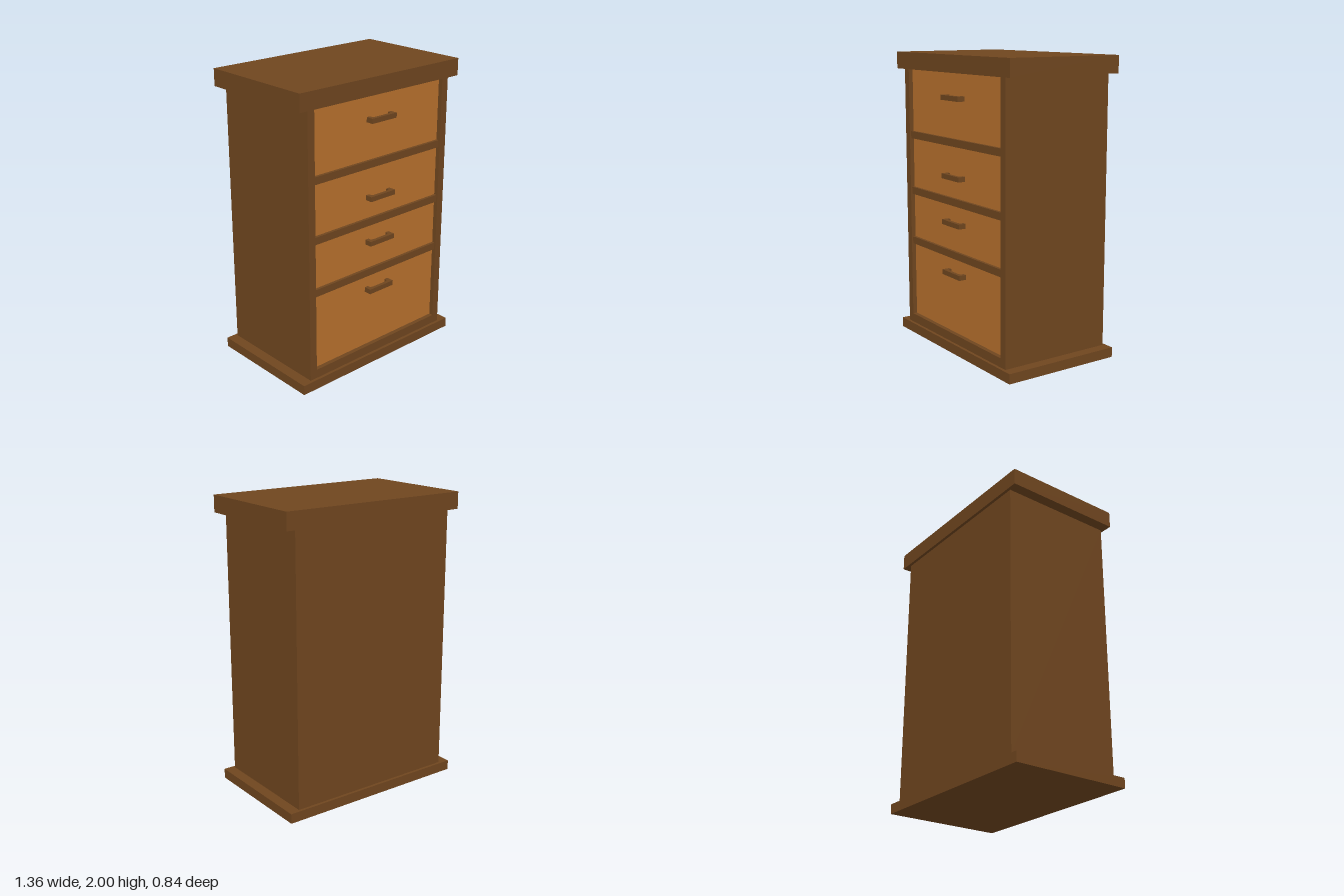
import * as THREE from 'three';

const dark = new THREE.MeshStandardMaterial({ color: 0x70461f });
const light = new THREE.MeshStandardMaterial({ color: 0xb8712d });

// Box given by its lower and upper corners
function box(name, [x0, y0, z0], [x1, y1, z1], material = dark) {
  const mesh = new THREE.Mesh(new THREE.BoxGeometry(x1 - x0, y1 - y0, z1 - z0), material);
  mesh.name = name;
  mesh.position.set((x0 + x1) / 2, (y0 + y1) / 2, (z0 + z1) / 2);
  return mesh;
}

// Bracket-shaped pull: a bar with two legs and chamfered inner corners
function handle(y, back, front) {
  const w = 0.106, h = 0.033, d = front - back;
  const shape = new THREE.Shape([
    [-w, 0], [-w + 0.028, 0], [-w + 0.028, -d * 0.4], [-w + 0.045, -d * 0.55],
    [w - 0.045, -d * 0.55], [w - 0.028, -d * 0.4], [w - 0.028, 0], [w, 0], [w, -d], [-w, -d],
  ].map(([x, z]) => new THREE.Vector2(x, z)));
  const geometry = new THREE.ExtrudeGeometry(shape, { depth: h, bevelEnabled: false });
  geometry.rotateX(-Math.PI / 2);
  const mesh = new THREE.Mesh(geometry, dark);
  mesh.name = 'handle';
  mesh.position.set(0.005, y - h / 2, back);
  return mesh;
}

export function createModel() {
  const group = new THREE.Group();
  group.name = 'chestOfDrawers';

  const bottom = 0.067, top = 1.885, outer = 0.607, inner = 0.554;
  const front = 0.4, railFront = 0.39, drawerFront = 0.37;

  // Overhanging slabs
  group.add(box('topSlab', [-0.68, top, -0.42], [0.68, 2, 0.42]));
  group.add(box('baseSlab', [-0.68, 0, -0.42], [0.68, bottom, 0.42]));

  // Carcass
  group.add(box('rightSide', [-outer, bottom, -front], [-inner, top, front]));
  group.add(box('leftSide', [inner, bottom, -front], [outer, top, front]));
  group.add(box('backPanel', [-inner, bottom, -front], [inner, top, -0.36]));
  group.add(box('bottomRail', [-inner, bottom, -0.36], [inner, 0.128, front]));

  // Rails between the drawers
  const rails = [[0.65, 0.70], [1.01, 1.06], [1.405, 1.455]];
  for (const [y0, y1] of rails) {
    group.add(box('rail', [-inner, y0, -0.36], [inner, y1, railFront]));
  }

  // Drawers fill the gaps, each with a handle
  const edges = [0.128, ...rails.flat(), top];
  [0.547, 0.893, 1.204, 1.722].forEach((handleY, i) => {
    const drawer = new THREE.Group();
    drawer.name = 'drawer' + (i + 1);
    drawer.add(box('drawerBody', [-inner, edges[2 * i], -0.36], [inner, edges[2 * i + 1], drawerFront], light));
    drawer.add(handle(handleY, drawerFront, 0.422));
    group.add(drawer);
  });

  return group;
}
